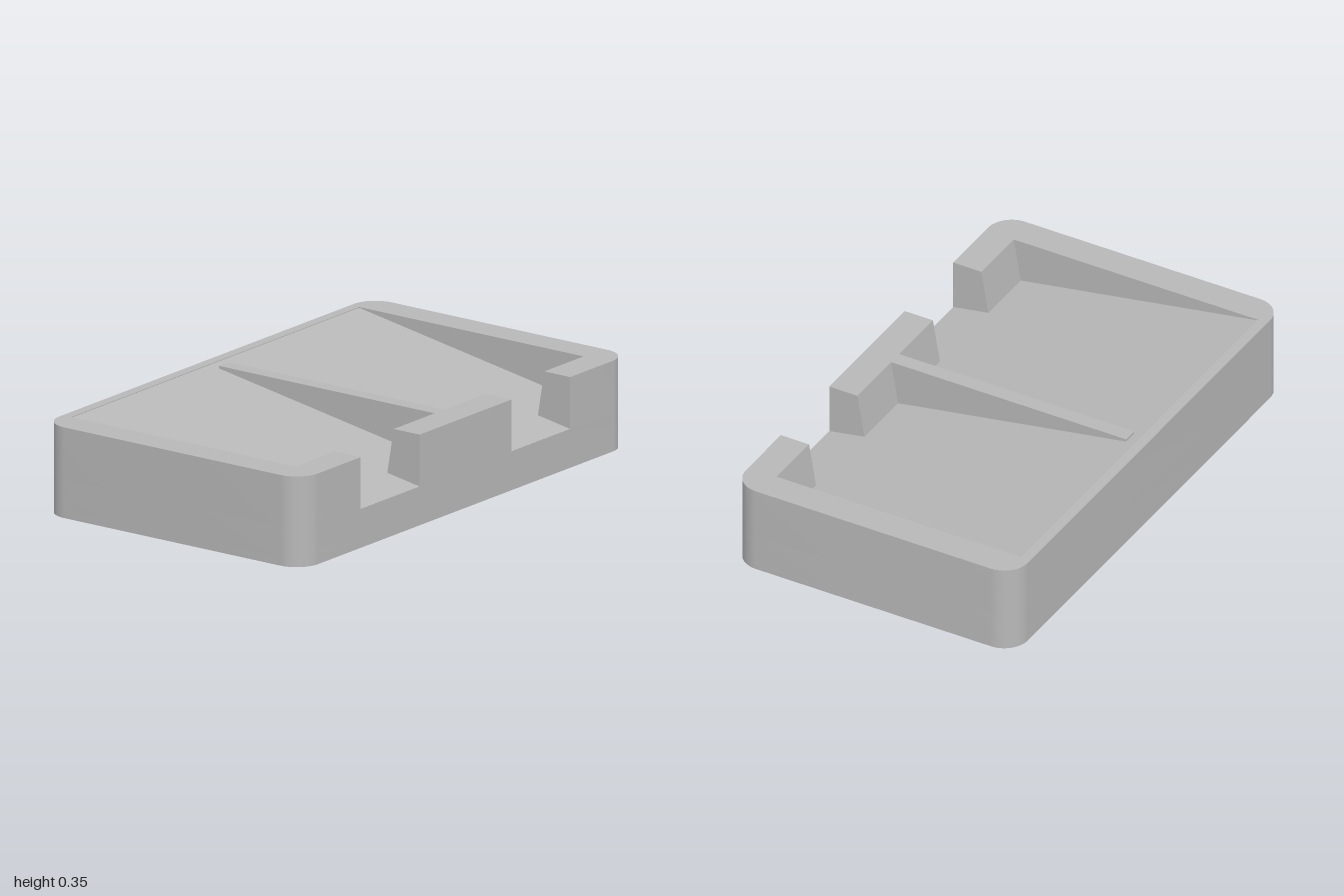
import * as THREE from 'three';
import { toCreasedNormals } from 'three/addons/utils/BufferGeometryUtils.js';

const TOP = 0.35, NOTCH_Y = 0.15, SKIN = 0.05;
const floorY = (z) => NOTCH_Y + (0.6 - z) * 0.17; // sloping tray floor
const underY = (z) => floorY(z) - SKIN;

// Rounded rectangle in plan, inset from the outer outline
function roundedPlan(inset, target = new THREE.Shape()) {
  const r = 0.1 - inset, P = Math.PI;
  target.moveTo(-0.9, -0.5 - r);
  target.lineTo(0.9, -0.5 - r);
  target.absarc(0.9, -0.5, r, -P / 2, 0);
  target.absarc(0.9, 0.5, r, 0, P / 2);
  target.absarc(-0.9, 0.5, r, P / 2, P);
  target.absarc(-0.9, -0.5, r, P, 1.5 * P);
  return target;
}

function ring(inset) {
  const shape = roundedPlan(0);
  shape.holes.push(roundedPlan(inset, new THREE.Path()));
  return shape;
}

// Wall plan left open at the front between the two notches
function openRing() {
  const s = new THREE.Shape(), P = Math.PI;
  s.moveTo(0.64, -0.6);
  s.lineTo(0.9, -0.6);
  s.absarc(0.9, -0.5, 0.1, -P / 2, 0);
  s.absarc(0.9, 0.5, 0.1, 0, P / 2);
  s.absarc(-0.9, 0.5, 0.1, P / 2, P);
  s.absarc(-0.9, -0.5, 0.1, P, 1.5 * P);
  s.lineTo(-0.64, -0.6);
  s.lineTo(-0.64, -0.56);
  s.absarc(-0.9, -0.5, 0.06, 1.5 * P, P, true);
  s.absarc(-0.9, 0.5, 0.06, P, P / 2, true);
  s.absarc(0.9, 0.5, 0.06, P / 2, 0, true);
  s.absarc(0.9, -0.5, 0.06, 0, -P / 2, true);
  s.lineTo(0.64, -0.56);
  s.closePath();
  return s;
}

const poly = (pts) => new THREE.Shape(pts.map(([x, z]) => new THREE.Vector2(x, -z)));
const rect = (x0, x1, z0, z1) => poly([[x0, z0], [x1, z0], [x1, z1], [x0, z1]]);

// Plan shape raised between two heights, each a number or a function of z;
// lean tips the inner front faces square to the sloping floor
function slab(shape, bottom, top, lean = false) {
  const geo = new THREE.ExtrudeGeometry(shape, { depth: 1, bevelEnabled: false, curveSegments: 10 });
  geo.rotateX(-Math.PI / 2);
  const at = (h, z) => (typeof h === 'function' ? h(z) : h);
  const p = geo.attributes.position;
  for (let i = 0; i < p.count; i++) {
    const z = p.getZ(i);
    const y = p.getY(i) > 0.5 ? at(top, z) : at(bottom, z);
    p.setY(i, y);
    if (lean && z < 0.53) p.setZ(i, z - (TOP - y) * 0.17);
  }
  return toCreasedNormals(geo, 0.5);
}

export function createModel() {
  const model = new THREE.Group();
  model.name = 'twoBayTray';
  const grey = new THREE.MeshStandardMaterial({ color: 0xb8b8b8 });
  grey.name = 'grey';
  const add = (name, geo) => {
    const mesh = new THREE.Mesh(geo, grey);
    mesh.name = name;
    model.add(mesh);
  };

  // Outer walls with a thinner lip round the open base
  add('baseLip', slab(ring(0.02), 0, 0.03));
  add('lowerWall', slab(ring(0.04), 0.03, NOTCH_Y));
  add('upperWall', slab(openRing(), NOTCH_Y, TOP));
  add('frontCentreWall', slab(rect(-0.28, 0.28, 0.56, 0.6), NOTCH_Y, TOP));

  // Sloping floor with a tongue running out through each notch
  add('slopingFloor', slab(poly([
    [-0.92, -0.56], [0.92, -0.56], [0.92, 0.48],
    [0.68, 0.48], [0.68, 0.599], [0.24, 0.599], [0.24, 0.48],
    [-0.24, 0.48], [-0.24, 0.599], [-0.68, 0.599], [-0.68, 0.48], [-0.92, 0.48],
  ]), underY, floorY));

  // Divider between the bays
  add('divider', slab(rect(-0.03, 0.03, -0.52, 0.5), underY, TOP));

  // Centre front block
  add('centreBlockWall', slab(rect(-0.28, 0.28, 0.48, 0.52), underY, TOP, true));
  add('centreBlockTop', slab(rect(-0.24, 0.24, 0.52, 0.56), 0.31, TOP));

  for (const [side, s] of [['left', 1], ['right', -1]]) {
    const span = (a, b, z0, z1) => rect(s * a, s * b, z0, z1);
    // Side rail and the rim above the hollow beside it
    add(side + 'Rail', slab(span(0.88, 0.92, -0.56, 0.52), underY, TOP));
    add(side + 'Rim', slab(span(0.92, 0.96, -0.56, 0.56), 0.31, TOP));
    // Front corner block
    add(side + 'CornerBlockWall', slab(span(0.64, 0.92, 0.48, 0.52), underY, TOP, true));
    add(side + 'CornerBlockTop', slab(span(0.68, 0.92, 0.52, 0.56), 0.31, TOP));
    // Cheeks on both sides of the notch
    add(side + 'OuterNotchCheek', slab(span(0.64, 0.68, 0.48, 0.58), underY, TOP, true));
    add(side + 'InnerNotchCheek', slab(span(0.24, 0.28, 0.48, 0.58), underY, TOP, true));
  }
  return model;
}
